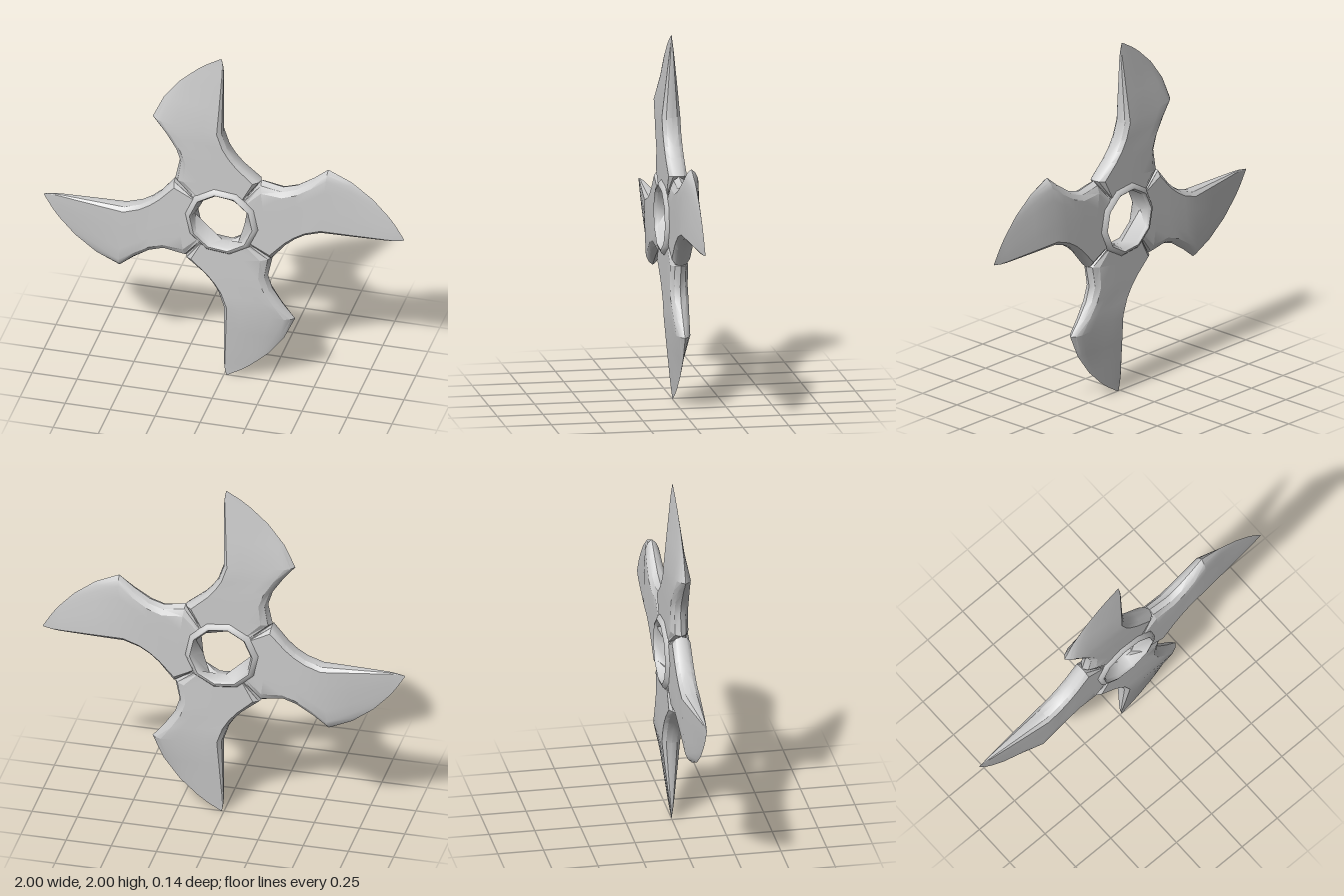
import * as THREE from 'three';
import { toCreasedNormals } from 'three/addons/utils/BufferGeometryUtils.js';

const material = new THREE.MeshStandardMaterial({ color: 0xcccccc });

// Skin rows of [x, y, z] points, then add the same skin mirrored to the back.
function mirroredSkin(rows, closed, crease = 0.5) {
  const pos = [];
  const tri = (a, b, c) => {
    pos.push(...a, ...b, ...c);
    for (const p of [a, c, b]) pos.push(p[0], p[1], -p[2]);
  };
  for (let s = 0; s < rows.length - 1; s++) {
    const n = rows[s].length;
    for (let k = 0; k < (closed ? n : n - 1); k++) {
      const k1 = (k + 1) % n;
      tri(rows[s][k], rows[s][k1], rows[s + 1][k]);
      tri(rows[s][k1], rows[s + 1][k1], rows[s + 1][k]);
    }
  }
  const geo = new THREE.BufferGeometry();
  geo.setAttribute('position', new THREE.Float32BufferAttribute(pos, 3));
  return toCreasedNormals(geo, crease);
}

// Cross-section shapes as [fraction across, fraction of thickness]
const ARM = [[0, 0], [0.02, 0.6], [0.08, 1], [0.3, 1], [0.5, 1], [0.7, 1], [0.88, 0.97], [0.96, 0.6], [1, 0]];
const BLADE = [[0, 0], [0.01, 0.6], [0.05, 1], [0.25, 0.9], [0.45, 0.7], [0.65, 0.47], [0.82, 0.25], [0.92, 0.11], [1, 0]];

// Sections from tip to hub: spine x, y, cutting edge x, y, half thickness, blade-ness
const SECTIONS = [
  [-0.012, 1.0, -0.02, 1.0, 0, 1],
  [-0.003, 0.95, -0.1, 0.952, 0.006, 1],
  [0, 0.91, -0.15, 0.915, 0.011, 1],
  [0, 0.82, -0.245, 0.828, 0.021, 0.9],
  [0, 0.7, -0.335, 0.71, 0.034, 0.75],
  [0, 0.545, -0.395, 0.58, 0.05, 0.3],
  [0.03, 0.455, -0.33, 0.5, 0.05, 0.15],
  [0.065, 0.4, -0.27, 0.41, 0.05, 0],
  [0.11, 0.35, -0.245, 0.33, 0.05, 0],
  [0.21, 0.27, -0.27, 0.21, 0.05, 0],
];

const sectionPoints = ([ax, ay, bx, by, h, blade]) => ARM.map(([u, t], i) => {
  const f = THREE.MathUtils.lerp(u, BLADE[i][0], blade);
  const z = h * THREE.MathUtils.lerp(t, BLADE[i][1], blade);
  return [ax + (bx - ax) * f, ay + (by - ay) * f, z];
});

export function createModel() {
  const model = new THREE.Group();
  model.name = 'throwingStar';
  const body = new THREE.Group();
  body.position.y = 1;
  model.add(body);
  const add = (geo, name) => {
    const mesh = new THREE.Mesh(geo, material);
    mesh.name = name;
    body.add(mesh);
    return mesh;
  };

  // Four curved blades around the hub
  const rows = SECTIONS.map(sectionPoints);
  const bladeGeo = mirroredSkin(rows, false);
  for (let i = 0; i < 4; i++) add(bladeGeo, `blade${i + 1}`).rotation.z = i * Math.PI / 2;

  // Hub plate between the blade roots and the ring
  const outer = [];
  const root = rows[rows.length - 1];
  for (let i = 0; i < 4; i++) {
    const c = Math.round(Math.cos(i * Math.PI / 2)), s = Math.round(Math.sin(i * Math.PI / 2));
    for (const [x, y, z] of root.slice(0, -1)) outer.push([x * c - y * s, x * s + y * c, z]);
  }
  const inner = outer.map(([x, y]) => {
    const r = Math.hypot(x, y);
    return [x / r * 0.18, y / r * 0.18, 0.05];
  });
  add(mirroredSkin([outer, inner], true), 'hubPlate');

  // Raised ring whose inside narrows to an uneven five-sided hole
  const corners = [[0.147, 0.085], [-0.085, 0.142], [-0.16, 0], [-0.01, -0.145], [0.08, -0.145]];
  const hole = corners.flatMap(([x, y], i) => {
    const [nx, ny] = corners[(i + 1) % 5];
    return [[x, y, 0], [(x + nx) / 2, (y + ny) / 2, 0]];
  });
  const ringLoop = (r, z) => hole.map((_, i) => {
    const a = Math.PI / 6 + i * Math.PI / 5;
    return [r * Math.cos(a), r * Math.sin(a), z];
  });
  const ring = [ringLoop(0.205, 0.048), ringLoop(0.19, 0.066), ringLoop(0.175, 0.07), ringLoop(0.163, 0.055), hole];
  add(mirroredSkin(ring, true, 0.9), 'hubRing');

  return model;
}
